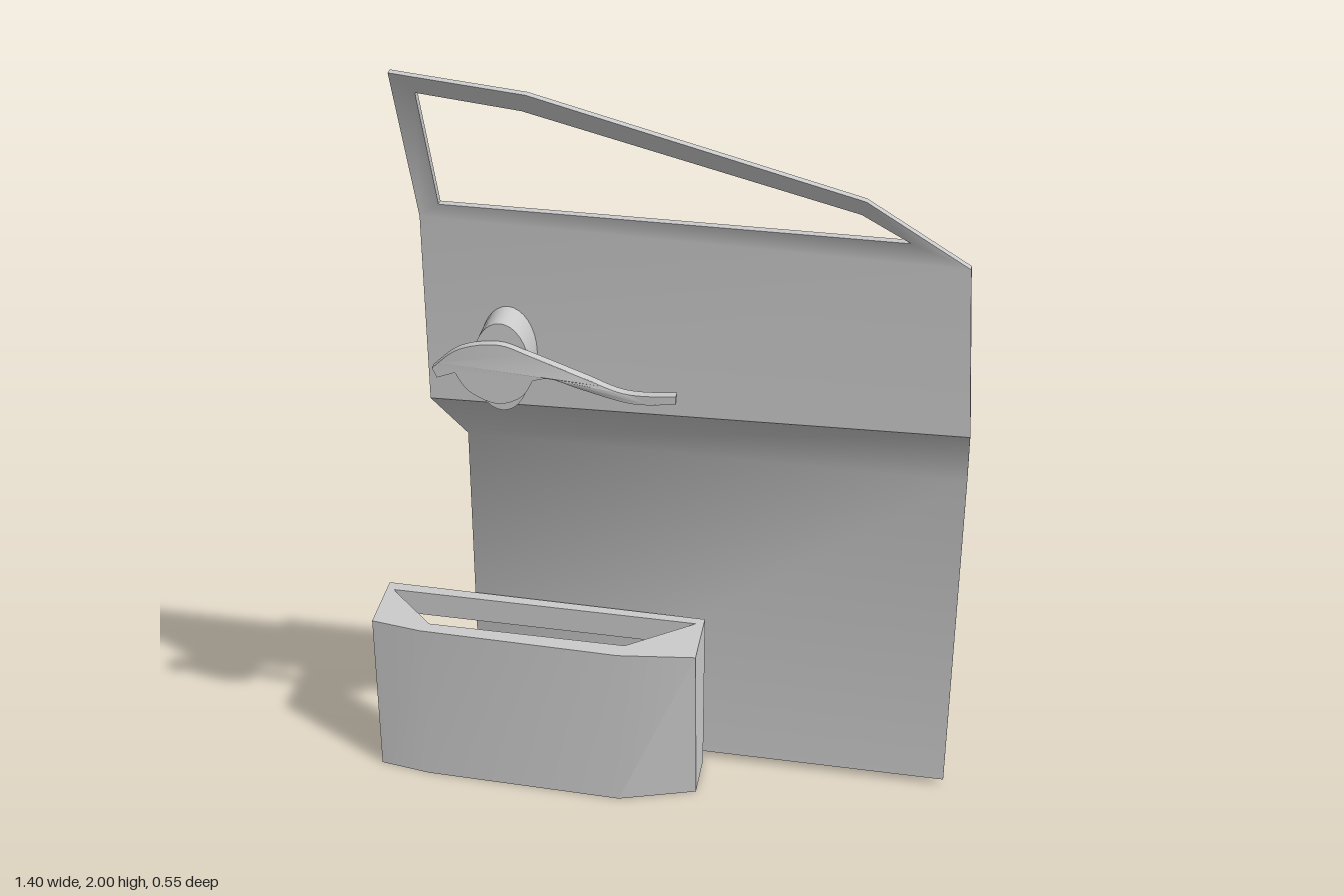
import * as THREE from 'three';
import { toCreasedNormals } from 'three/addons/utils/BufferGeometryUtils.js';

const material = new THREE.MeshStandardMaterial({ color: 0xcccccc });
const thinMaterial = new THREE.MeshStandardMaterial({ color: 0xcccccc, side: THREE.DoubleSide });

function add(group, name, geometry, mat = material) {
  const mesh = new THREE.Mesh(geometry, mat);
  mesh.name = name;
  group.add(mesh);
  return mesh;
}

function indexed(points, index) {
  const g = new THREE.BufferGeometry();
  g.setAttribute('position', new THREE.Float32BufferAttribute(points.flat(), 3));
  g.setIndex(index);
  return g;
}

// Sheet of quads with smooth front and back faces and walls on every open edge
function sheet(front, quads, thickness) {
  const n = front.length;
  const points = [...front, ...front.map(([x, y, z]) => [x, y, z - thickness])];
  const index = [];
  const edges = new Set();
  for (const [a, b, c, d] of quads) {
    index.push(a, b, c, a, c, d);
    index.push(a + n, c + n, b + n, a + n, d + n, c + n);
    [[a, b], [b, c], [c, d], [d, a]].forEach((e) => edges.add(e.join()));
  }
  for (const key of edges) {
    const [a, b] = key.split(',').map(Number);
    if (edges.has(b + ',' + a)) continue;
    const k = points.length;
    points.push(points[a], points[b], points[b + n], points[a + n]);
    index.push(k, k + 2, k + 1, k, k + 3, k + 2);
  }
  const g = indexed(points, index);
  g.computeVertexNormals();
  return g;
}

// Lever outline pushed to one side of the door, with its free end swept outward
function leverGeometry(side) {
  const v = (x, y) => new THREE.Vector2(x, y);
  const shape = new THREE.Shape();
  shape.moveTo(-0.45, 1.3);
  shape.splineThru([v(-0.39, 1.35), v(-0.305, 1.368), v(-0.23, 1.345), v(-0.12, 1.305), v(-0.03, 1.277), v(0.08, 1.283)]);
  shape.lineTo(0.08, 1.265);
  shape.splineThru([v(-0.015, 1.255), v(-0.12, 1.275), v(-0.19, 1.295), v(-0.23, 1.288)]);
  shape.splineThru([v(-0.257, 1.245), v(-0.31, 1.225), v(-0.37, 1.25), v(-0.4, 1.293)]);
  shape.lineTo(-0.44, 1.278);
  shape.closePath();
  const g = new THREE.ExtrudeGeometry(shape, { depth: 0.02, bevelEnabled: false, curveSegments: 5 });
  const p = g.attributes.position;
  for (let i = 0; i < p.count; i++) {
    const sweep = 0.012 * THREE.MathUtils.smoothstep(p.getX(i), -0.15, 0.08);
    p.setZ(i, 0.075 + side * (0.085 + sweep) + p.getZ(i) - 0.01);
  }
  return toCreasedNormals(g, 0.7);
}

function pocketGeometry() {
  const outer = [[-0.705, -0.26], [-0.705, -0.09], [-0.58, -0.067], [-0.09, -0.042], [0.095, -0.063], [0.095, -0.225]];
  const base = outer.map(([x, z], i) => [x, i === 4 ? -0.1 : z]);
  const opening = [[-0.685, -0.23], [-0.68, -0.222], [-0.565, -0.1], [-0.08, -0.085], [0.065, -0.195], [0.075, -0.203]];
  const lip = opening.map(([x, z], i) => [x, i === 2 || i === 3 ? z - 0.03 : z]);
  const at = (ring, y) => ring.map(([x, z]) => [x, y, z]);
  // Rings: floor, rim outside, rim opening, lip below the opening
  const points = [...at(base, 0), ...at(outer, 0.435), ...at(opening, 0.435), ...at(lip, 0.37)];
  const index = [];
  for (let ring = 0; ring < 3; ring++) {
    for (let i = 0; i < 6; i++) {
      if (ring === 0 && i === 5) continue; // the back is open
      const a = ring * 6 + i, b = ring * 6 + (i + 1) % 6;
      index.push(a, b, b + 6, a, b + 6, a + 6);
    }
  }
  for (let i = 1; i < 5; i++) index.push(0, i + 1, i);
  // Narrow bar across the top of the open back
  const k = points.length;
  points.push([-0.705, 0.37, -0.26], [0.095, 0.37, -0.225]);
  index.push(11, 6, k, 11, k, k + 1);
  return toCreasedNormals(indexed(points, index), 0.2);
}

export function createModel() {
  const door = new THREE.Group();
  door.name = 'door';

  // Lower skin and the slope up to the waist
  add(door, 'lowerPanel', sheet([
    [-0.485, 0.02, -0.257], [0.7, 0.02, -0.22],
    [-0.485, 0.89, -0.257], [0.7, 0.89, -0.22],
    [-0.485, 1.165, 0.065], [0.7, 1.18, 0.075],
  ], [[0, 1, 3, 2], [2, 3, 5, 4]], 0.016));

  // Upper skin and the window frame leaning outward above it
  add(door, 'upperPanelAndWindowFrame', sheet([
    [-0.485, 1.165, 0.065], [0.7, 1.18, 0.075], [0.675, 1.58, 0.083], [-0.485, 1.61, 0.073],
    [-0.44, 1.645, 0.083], [0.55, 1.64, 0.105],
    [-0.485, 2, 0.25], [-0.205, 1.98, 0.272], [0.46, 1.76, 0.18],
    [-0.44, 1.95, 0.222], [-0.22, 1.935, 0.245], [0.45, 1.72, 0.155],
  ], [[0, 1, 2, 3], [3, 2, 5, 4], [3, 4, 9, 6], [6, 9, 10, 7], [7, 10, 11, 8], [8, 11, 5, 2]], 0.018));

  // Oval spindle through the door with a lever on each side
  const spindle = add(door, 'handleSpindle', new THREE.CylinderGeometry(1, 1, 0.15, 32).rotateX(Math.PI / 2).scale(0.062, 0.105, 1));
  spindle.position.set(-0.302, 1.305, 0.077);
  add(door, 'frontHandle', leverGeometry(1));
  add(door, 'backHandle', leverGeometry(-1));

  // Storage pocket at the foot of the door
  add(door, 'pocket', pocketGeometry(), thinMaterial);
  return door;
}
